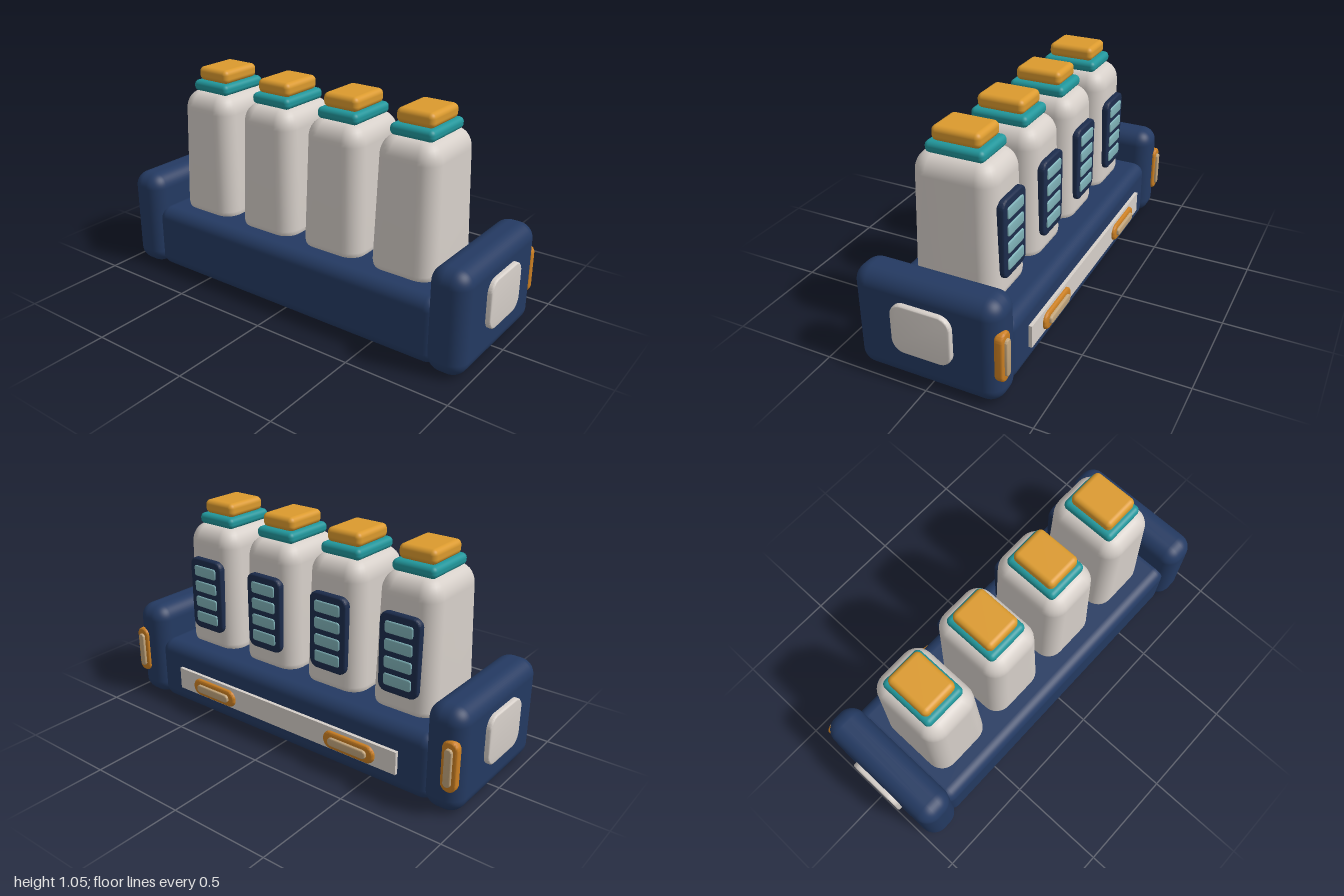
import * as THREE from 'three';
import { toCreasedNormals } from 'three/addons/utils/BufferGeometryUtils.js';
import { RoundedBoxGeometry } from 'three/addons/geometries/RoundedBoxGeometry.js';

const mat = (name, color) => new THREE.MeshStandardMaterial({ name, color });

// outline of a rounded rectangle centred on the origin
function roundedRect(w, h, r) {
  const s = new THREE.Shape(), x = w / 2, y = h / 2;
  s.absarc(x - r, y - r, r, 0, Math.PI / 2);
  s.absarc(-x + r, y - r, r, Math.PI / 2, Math.PI);
  s.absarc(-x + r, -y + r, r, Math.PI, Math.PI * 1.5);
  s.absarc(x - r, -y + r, r, Math.PI * 1.5, Math.PI * 2);
  s.closePath();
  return s;
}

// plate from z = 0 to z = depth, bevelled on its outer edge
function plateGeometry(w, h, r, depth, bevel) {
  const g = new THREE.ExtrudeGeometry(roundedRect(w - 2 * bevel, h - 2 * bevel, r - bevel), {
    depth: depth - 2 * bevel, bevelThickness: bevel, bevelSize: bevel, bevelSegments: 3, curveSegments: 8,
  });
  g.translate(0, 0, bevel);
  return toCreasedNormals(g, 0.6);
}

// smooth skin through rounded-rectangle rings [y, halfWidth, halfDepth, radius]
function loftGeometry(rings) {
  const pos = [], idx = [], seg = 7, n = 4 * seg;
  for (const [y, a, b, r] of rings) {
    for (let c = 0; c < 4; c++) {
      const sx = c === 0 || c === 3 ? 1 : -1, sz = c < 2 ? 1 : -1;
      for (let i = 0; i < seg; i++) {
        const t = (c + i / (seg - 1)) * Math.PI / 2;
        pos.push(sx * (a - r) + r * Math.cos(t), y, sz * (b - r) + r * Math.sin(t));
      }
    }
  }
  for (let k = 0; k < rings.length - 1; k++) {
    for (let i = 0; i < n; i++) {
      const p = k * n + i, q = k * n + (i + 1) % n;
      idx.push(p, p + n, q, q, p + n, q + n);
    }
  }
  // closed top
  const last = (rings.length - 1) * n, mid = pos.length / 3;
  pos.push(0, rings[rings.length - 1][0], 0);
  for (let i = 0; i < n; i++) idx.push(last + i, mid, last + (i + 1) % n);
  const g = new THREE.BufferGeometry();
  g.setAttribute('position', new THREE.Float32BufferAttribute(pos, 3));
  g.setIndex(idx);
  g.computeVertexNormals();
  return g;
}

export function createModel() {
  const model = new THREE.Group();
  model.name = 'bottleRack';
  const navy = mat('navy', 0x243a62), darkNavy = mat('darkNavy', 0x1c2c4c);
  const cream = mat('cream', 0xd6cfc9), teal = mat('teal', 0x21969b);
  const paleTeal = mat('paleTeal', 0x7fb2b8), amber = mat('amber', 0xdb9a2e);
  const orange = mat('orange', 0xcb7f22), tan = mat('tan', 0xc2a57c);

  const add = (parent, name, geometry, material, x, y, z) => {
    const m = new THREE.Mesh(geometry, material);
    m.name = name;
    m.position.set(x, y, z);
    parent.add(m);
    return m;
  };

  // tray and its two end blocks
  add(model, 'tray', new RoundedBoxGeometry(1.66, 0.324, 0.646, 6, 0.06), navy, 0, 0.164, 0.008);
  const endGeo = new RoundedBoxGeometry(0.186, 0.498, 0.694, 6, 0.075);
  const sidePlate = plateGeometry(0.286, 0.24, 0.06, 0.04, 0.008);

  // oblong lamp: rim with a raised lens, facing the back
  const rimGeo = plateGeometry(0.28, 0.088, 0.043, 0.04, 0.011);
  const lensGeo = plateGeometry(0.21, 0.042, 0.02, 0.03, 0.006);
  const addLamp = (name, x, y, z, scale, upright) => {
    const lamp = new THREE.Group();
    lamp.name = name;
    add(lamp, 'lampRim', rimGeo, orange, 0, 0, 0);
    add(lamp, 'lampLens', lensGeo, tan, 0, 0, 0.022);
    lamp.position.set(x, y, z);
    lamp.rotation.set(0, Math.PI, upright ? Math.PI / 2 : 0);
    lamp.scale.set(scale, scale, 1);
    model.add(lamp);
  };

  for (const s of [-1, 1]) {
    add(model, 'endBlock', endGeo, navy, s * 0.882, 0.25, 0.013);
    add(model, 'sidePlate', sidePlate, cream, s * 0.958, 0.28, 0.014).rotation.y = s * Math.PI / 2;
    addLamp('endLamp', s * 0.927, 0.25, -0.307, 0.86, true);
    addLamp('backLamp', s * 0.417, 0.152, -0.307, 1, false);
  }
  add(model, 'backStrip', new THREE.BoxGeometry(1.33, 0.112, 0.03), cream, 0, 0.157, -0.317);

  // bottle skin: slight taper, then a rounded shoulder
  const rings = [[0.315, 0.153, 0.194, 0.07], [0.33, 0.16, 0.202, 0.078], [0.35, 0.163, 0.206, 0.08], [0.6, 0.156, 0.2, 0.08]];
  for (let i = 0; i <= 8; i++) {
    const t = i / 8 * Math.PI / 2, inset = 0.07 * (1 - Math.cos(t));
    rings.push([0.85 + 0.09 * Math.sin(t), 0.149 - inset, 0.195 - inset, 0.08 - inset * 0.8]);
  }
  const bottleGeo = loftGeometry(rings);
  const collarGeo = new RoundedBoxGeometry(0.218, 0.054, 0.278, 5, 0.023);
  const capGeo = new RoundedBoxGeometry(0.185, 0.068, 0.23, 5, 0.025);
  const panelGeo = plateGeometry(0.205, 0.376, 0.04, 0.04, 0.009);
  const slatGeo = plateGeometry(0.142, 0.056, 0.012, 0.02, 0.005);

  // four bottles, each with a slatted panel on the back
  for (let i = 0; i < 4; i++) {
    const bottle = new THREE.Group();
    bottle.name = 'bottle';
    bottle.position.set((i - 1.5) * 0.383 - 0.004, 0, 0.014);
    add(bottle, 'bottleBody', bottleGeo, cream, 0, 0, 0);
    add(bottle, 'collar', collarGeo, teal, 0, 0.963, 0);
    add(bottle, 'cap', capGeo, amber, 0, 1.021, 0);
    add(bottle, 'backPanel', panelGeo, darkNavy, 0, 0.597, -0.183).rotation.y = Math.PI;
    for (let k = 0; k < 4; k++) {
      add(bottle, 'slat', slatGeo, paleTeal, 0, 0.474 + k * 0.082, -0.209).rotation.y = Math.PI;
    }
    model.add(bottle);
  }
  return model;
}
